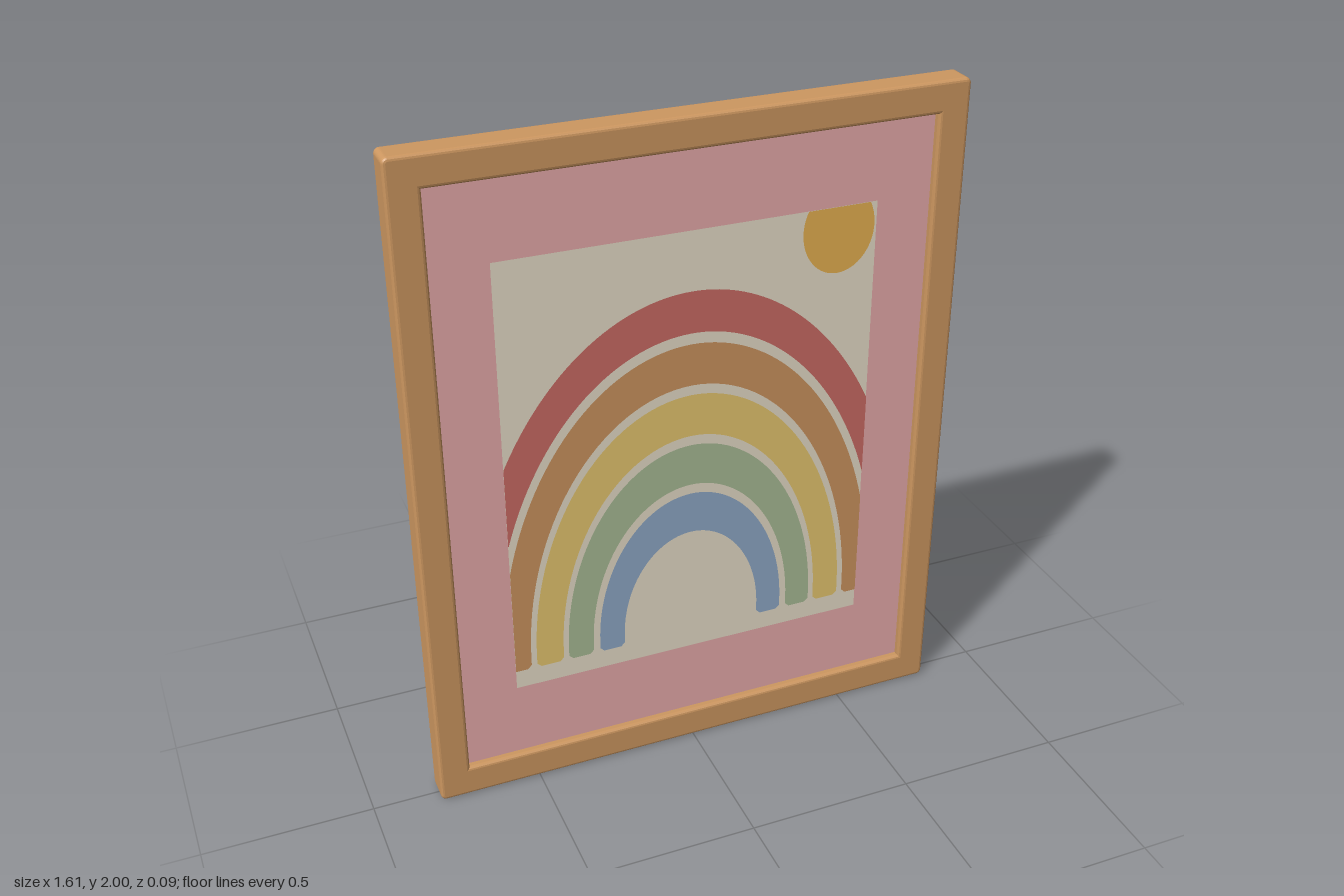
import * as THREE from 'three';

const material = (name, color, side = THREE.FrontSide) => {
  const m = new THREE.MeshStandardMaterial({ color, side });
  m.name = name;
  return m;
};

// Rectangle outline with optional rounded corners
function rectangle(path, x, y0, y1, r = 0) {
  if (!r) {
    path.moveTo(-x, y0).lineTo(x, y0).lineTo(x, y1).lineTo(-x, y1).closePath();
    return path;
  }
  path.moveTo(-x + r, y0);
  path.absarc(x - r, y0 + r, r, -Math.PI / 2, 0);
  path.absarc(x - r, y1 - r, r, 0, Math.PI / 2);
  path.absarc(-x + r, y1 - r, r, Math.PI / 2, Math.PI);
  path.absarc(-x + r, y0 + r, r, Math.PI, Math.PI * 1.5);
  return path;
}

const EDGE = 0.55;     // half width of the print
const CENTRE_Y = 0.43; // centre of the arches
const FOOT_Y = 0.39;   // bottom of the arch legs

// Points along an elliptical arch from right to left, cut at the print's edge
function archPoints(rx, ry) {
  const start = Math.acos(Math.min(1, EDGE / rx));
  const points = [];
  for (let i = 0; i <= 64; i++) {
    const t = start + (Math.PI - 2 * start) * i / 64;
    points.push(new THREE.Vector2(rx * Math.cos(t), CENTRE_Y + ry * Math.sin(t)));
  }
  return points;
}

// Band between two arches, with softly cornered feet where it reaches the ground
function archShape(rxOut, topOut, rxIn, topIn) {
  const outer = archPoints(rxOut, topOut - CENTRE_Y);
  const inner = archPoints(rxIn, topIn - CENTRE_Y).reverse();
  const foot = [];
  if (rxIn < EDGE) {
    const right = Math.min(rxOut, EDGE), c = 0.012;
    if (rxOut < EDGE) foot.push([right, FOOT_Y + c], [right - c, FOOT_Y]);
    else foot.push([right, FOOT_Y]);
    foot.push([rxIn + c, FOOT_Y], [rxIn, FOOT_Y + c]);
  }
  const leftFoot = foot.map(([x, y]) => new THREE.Vector2(-x, y));
  const rightFoot = foot.map(([x, y]) => new THREE.Vector2(x, y)).reverse();
  return new THREE.Shape([...outer, ...leftFoot, ...inner, ...rightFoot]);
}

export function createModel() {
  const group = new THREE.Group();
  const add = (name, geometry, mat, z = 0) => {
    const mesh = new THREE.Mesh(geometry, mat);
    mesh.name = name;
    mesh.position.z = z;
    group.add(mesh);
    return mesh;
  };

  // Wooden frame with softened edges
  const bevel = 0.01, depth = 0.09;
  const outline = rectangle(new THREE.Shape(), 0.805, 0, 2, 0.016);
  outline.holes.push(rectangle(new THREE.Path(), 0.713, 0.097, 1.908));
  const frame = new THREE.ExtrudeGeometry(outline, {
    depth: depth - 2 * bevel, bevelEnabled: true, bevelThickness: bevel,
    bevelSize: bevel, bevelOffset: -bevel, bevelSegments: 3, curveSegments: 4,
  });
  add('frame', frame, material('wood', 0xcd9760), -depth / 2 + bevel);

  // Pink mount board, set nearer the front of the frame
  const board = add('mountBoard', new THREE.BoxGeometry(1.44, 1.83, 0.018), material('pink', 0xf0b2b1), 0.013);
  board.position.y = 1.0025;

  // Cream print
  const paper = rectangle(new THREE.Shape(), EDGE, 0.33, 1.68);
  add('print', new THREE.ShapeGeometry(paper), material('cream', 0xf1e7d2, THREE.DoubleSide), 0.024);

  // Rainbow arches: name, colour, outer half width and top, inner half width and top
  const arches = [
    ['red', 0xcc6b64, 0.685, 1.505, 0.603, 1.38],
    ['orange', 0xce955f, 0.582, 1.347, 0.502, 1.22],
    ['yellow', 0xeccc72, 0.485, 1.19, 0.403, 1.06],
    ['green', 0xaabd96, 0.387, 1.03, 0.31, 0.9],
    ['blue', 0x8faac8, 0.29, 0.87, 0.213, 0.74],
  ];
  for (const [name, color, ...sizes] of arches) {
    add(name + 'Arch', new THREE.ShapeGeometry(archShape(...sizes)), material(name, color, THREE.DoubleSide), 0.026);
  }

  // Sun, cut off by the top of the print
  const cut = Math.asin((1.68 - 1.615) / 0.13);
  const sun = new THREE.Shape();
  sun.absellipse(0.435, 1.615, 0.108, 0.13, Math.PI - cut, Math.PI * 2 + cut, false, 0);
  add('sun', new THREE.ShapeGeometry(sun, 40), material('sunYellow', 0xebb552, THREE.DoubleSide), 0.026);

  return group;
}
